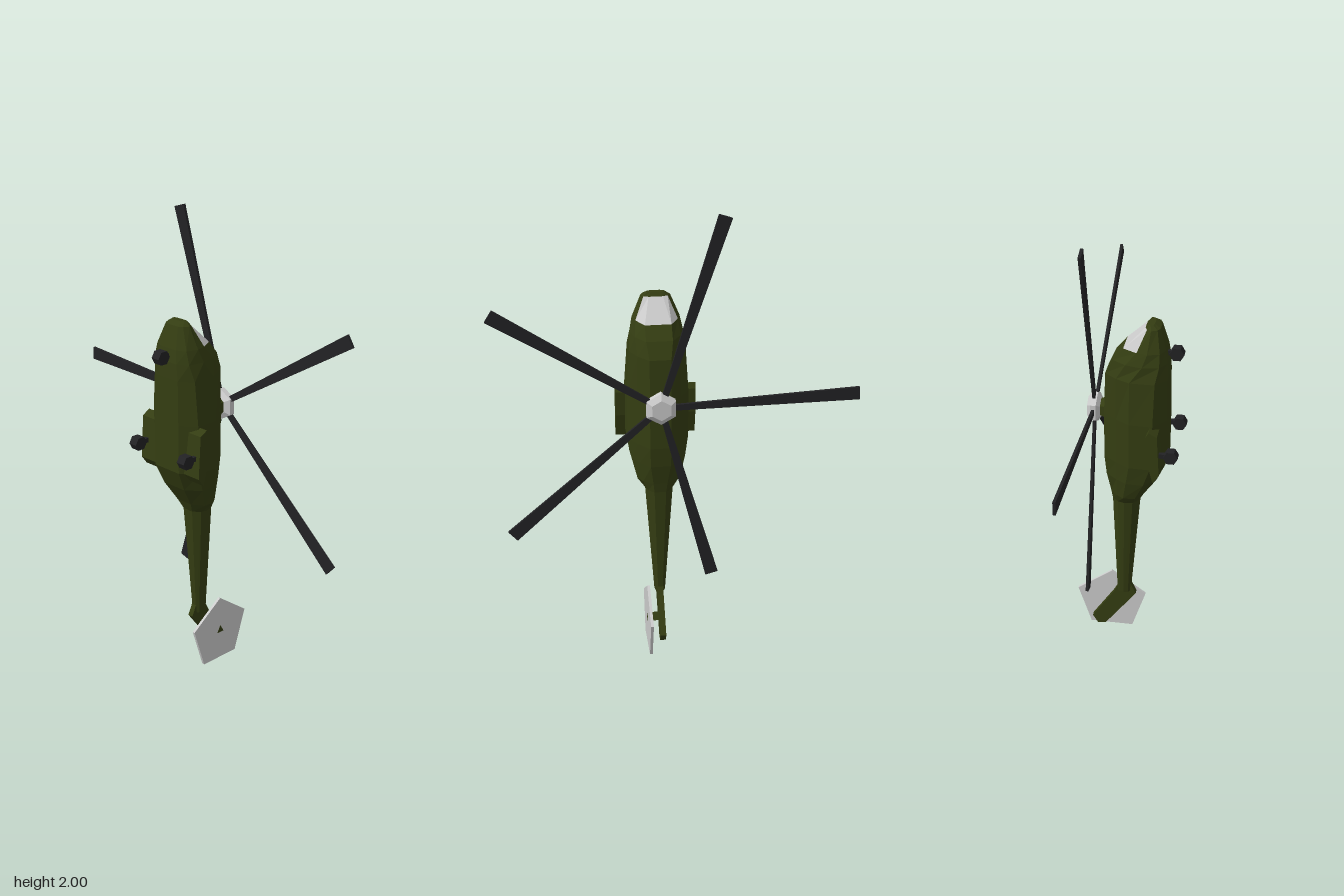
import * as THREE from 'three';

const paint = (color) => new THREE.MeshStandardMaterial({ color, flatShading: true });
const CX = 0.06; // centre line of the fuselage

export function createModel() {
  const model = new THREE.Group();
  const green = paint(0x343d12), dark = paint(0x222224), grey = paint(0xcccccc);

  const add = (name, geometry, material, x = 0, y = 0, z = 0) => {
    const mesh = new THREE.Mesh(geometry, material);
    mesh.name = name;
    mesh.position.set(x, y, z);
    model.add(mesh);
    return mesh;
  };

  // Side outline given as [z, y] points, extruded across x
  const sidePlate = (points, width) => {
    const shape = new THREE.Shape(points.map((p) => new THREE.Vector2(...p)));
    return new THREE.ExtrudeGeometry(shape, { depth: width, bevelEnabled: false })
      .translate(0, 0, -width / 2).rotateY(-Math.PI / 2);
  };

  // Fuselage cross-sections from nose to tail: height, then half outline [x, z] from back to belly
  const rings = [
    [1.61, [.02, .095], [.035, .098], [.04, .105], [.035, .115], [.02, .12]],
    [1.595, [.03, .083], [.05, .092], [.062, .11], [.05, .135], [.03, .145]],
    [1.505, [.055, -.005], [.088, .055], [.1, .1], [.085, .15], [.045, .17]],
    [1.45, [.055, -.05], [.095, .01], [.112, .08], [.1, .15], [.055, .178]],
    [1.38, [.045, -.082], [.088, -.03], [.118, .03], [.118, .135], [.065, .18]],
    [1.19, [.045, -.088], [.092, -.03], [.13, .03], [.133, .13], [.07, .182]],
    [.98, [.045, -.088], [.092, -.03], [.13, .03], [.132, .12], [.07, .18]],
    [.89, [.042, -.079], [.085, -.03], [.115, .015], [.118, .09], [.06, .14]],
    [.8, [.03, -.062], [.07, -.03], [.092, 0], [.09, .05], [.04, .082]],
    [.755, [.025, -.055], [.05, -.03], [.06, 0], [.055, .035], [.025, .06]],
    [.245, [.01, -.038], [.02, -.028], [.024, -.01], [.02, .01], [.01, .02]],
  ].map(([y, ...half]) => [
    ...half.map(([x, z]) => [x, y, z]),
    ...half.slice().reverse().map(([x, z]) => [-x, y, z]),
  ]);
  const hull = [], glass = [];
  const count = rings[0].length;
  for (let i = 0; i < rings.length - 1; i++) {
    for (let j = 0; j < count; j++) {
      const k = (j + 1) % count, a = rings[i], b = rings[i + 1];
      // the windscreen is the back three panels behind the nose
      const isGlass = i === 1 && (j === 0 || j >= count - 2);
      (isGlass ? glass : hull).push(a[j], a[k], b[k], a[j], b[k], b[j]);
    }
  }
  const nose = rings[0], end = rings[rings.length - 1];
  for (let j = 1; j < count - 1; j++) {
    hull.push(nose[0], nose[j + 1], nose[j], end[0], end[j], end[j + 1]);
  }
  const facets = (corners) => {
    const geometry = new THREE.BufferGeometry();
    geometry.setAttribute('position', new THREE.Float32BufferAttribute(corners.flat(), 3));
    geometry.computeVertexNormals();
    return geometry;
  };
  add('fuselage', facets(hull), green, CX);
  add('windscreen', facets(glass), grey, CX);

  // Side sponsons, one beam through the lower hull
  add('sponsons', sidePlate([
    [.155, 1.165], [.12, 1.185], [.107, 1.16], [.112, 1.05], [.138, .945], [.165, .98],
  ], .344), green, CX);

  // Swept tail fin
  add('tailFin', sidePlate([
    [.045, .235], [.02, .29], [-.038, .27], [-.055, .235], [-.155, .085], [-.13, .045], [-.095, .05],
  ], .025), green, CX);

  // Tail rotor: shaft and five-sided disc
  add('tailRotorShaft', new THREE.CylinderGeometry(.022, .022, .062, 3)
    .rotateZ(-Math.PI / 2).rotateX(-Math.PI / 2), green, .093, .142, -.08);
  add('tailRotorDisc', new THREE.CylinderGeometry(.165, .165, .012, 5)
    .rotateZ(-Math.PI / 2).rotateX(-Math.PI / 2), grey, .117, .137, -.077);

  // Landing gear: struts and six-sided wheels
  for (const [name, x, y] of [['nose', CX, 1.475], ['left', .203, 1.065], ['right', -.083, 1.065]]) {
    add(name + 'Strut', new THREE.BoxGeometry(.018, .02, .075), dark, x, y, .175);
    add(name + 'Wheel', new THREE.CylinderGeometry(.031, .031, .04, 6)
      .rotateZ(-Math.PI / 2), dark, x, y, .211);
  }

  // Main rotor mast and hub
  const hubX = .065, hubY = 1.19;
  add('rotorMast', new THREE.CylinderGeometry(.035, .055, .05, 6)
    .rotateX(-Math.PI / 2), green, hubX, hubY, -.1);
  const hubProfile = [[0, .108], [.045, .108], [.07, .122], [.07, .146], [.045, .163], [0, .163]];
  add('rotorHub', new THREE.LatheGeometry(hubProfile.map((p) => new THREE.Vector2(...p)), 6)
    .rotateX(-Math.PI / 2), grey, hubX, hubY);

  // Main rotor blades, widening towards the tip: angle in degrees and length
  for (const [angle, length] of [[32.6, .807], [107.6, .845], [178.3, .83], [254.8, .832], [318.4, .843]]) {
    const outline = [[.03, -.012], [length, -.028], [length, .028], [.03, .012]];
    const blade = add('rotorBlade', new THREE.ExtrudeGeometry(
      new THREE.Shape(outline.map((p) => new THREE.Vector2(...p))),
      { depth: .012, bevelEnabled: false }), dark, hubX, hubY, -.141);
    blade.rotation.z = THREE.MathUtils.degToRad(angle);
  }
  return model;
}
